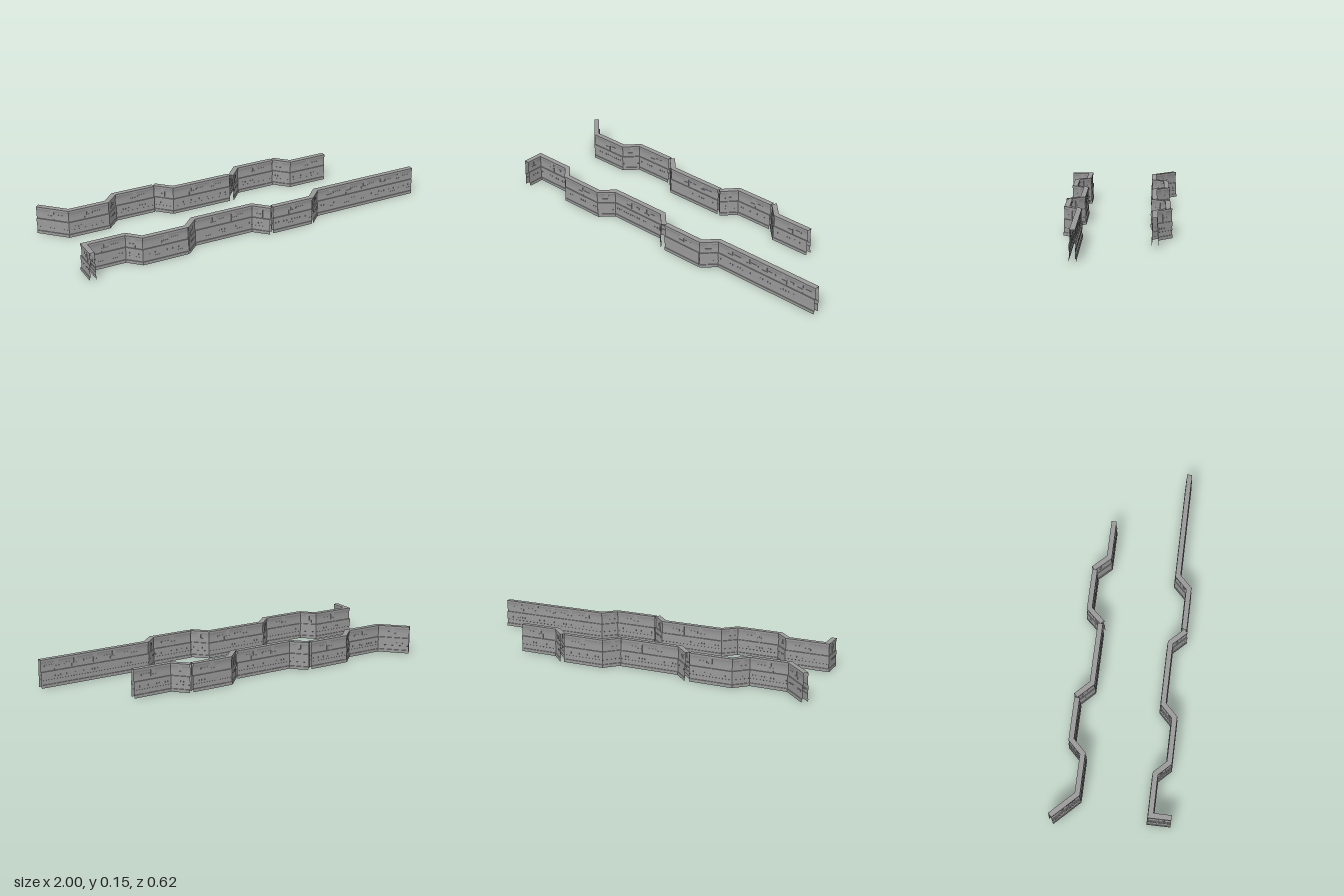
import * as THREE from 'three';
import { mergeGeometries } from 'three/addons/utils/BufferGeometryUtils.js';

// Half cross-section of the barrier: [half thickness, height], bottom to top
const HALF = [
  [0.0175, 0], [0.017, 0.016], [0.0145, 0.017], [0.0135, 0.04],
  [0.0148, 0.041], [0.0144, 0.062], [0.0162, 0.062], [0.0155, 0.085],
  [0.0118, 0.086], [0.0106, 0.112], [0.0108, 0.122], [0.0118, 0.132],
  [0.0138, 0.14], [0.0138, 0.15],
];
const PROFILE = [...HALF, ...HALF.map(([w, y]) => [-w, y]).reverse()];

// Runs of wall as [x, z] centre lines; each run is mitred at its bends
const BACK_RUNS = [
  [[-0.987, -0.299], [-0.863, -0.175], [-0.65, -0.175], [-0.583, -0.243], [-0.355, -0.243]],
  [[-0.345, -0.252], [-0.268, -0.175], [0.067, -0.175]],
  [[0.074, -0.165], [0.146, -0.243], [0.37, -0.243]],
  [[0.378, -0.252], [0.453, -0.175], [0.668, -0.175]],
];
const FRONT_RUNS = [
  [[-0.929, 0.312], [-0.929, 0.206], [-0.71, 0.206], [-0.646, 0.271], [-0.402, 0.271]],
  [[-0.41, 0.277], [-0.337, 0.206], [0.003, 0.206], [0.077, 0.281]],
  [[0.086, 0.271], [0.322, 0.271]],
  [[0.315, 0.277], [0.388, 0.206], [1, 0.206]],
];

function describe(run) {
  const segs = [];
  for (let i = 0; i + 1 < run.length; i++) {
    const dx = run[i + 1][0] - run[i][0], dz = run[i + 1][1] - run[i][1];
    const len = Math.hypot(dx, dz);
    segs.push({ a: run[i], len, d: [dx / len, dz / len], n: [-dz / len, dx / len] });
  }
  return segs;
}

// Hollow shell swept along a run
function shell(run) {
  const segs = describe(run);
  const sides = run.map((_, i) => {
    const p = (segs[i - 1] || segs[i]).n, q = (segs[i] || segs[i - 1]).n;
    const k = 1 + p[0] * q[0] + p[1] * q[1];
    return [(p[0] + q[0]) / k, (p[1] + q[1]) / k];
  });
  const at = (i, [w, y]) => [run[i][0] + sides[i][0] * w, y, run[i][1] + sides[i][1] * w];
  const pos = [];
  for (let i = 0; i + 1 < run.length; i++) {
    for (let j = 0; j + 1 < PROFILE.length; j++) {
      const a = at(i, PROFILE[j]), b = at(i + 1, PROFILE[j]);
      const c = at(i + 1, PROFILE[j + 1]), d = at(i, PROFILE[j + 1]);
      pos.push(...a, ...b, ...c, ...a, ...c, ...d);
    }
  }
  const g = new THREE.BufferGeometry();
  g.setAttribute('position', new THREE.Float32BufferAttribute(pos, 3));
  g.computeVertexNormals();
  return g;
}

// Small block on one face of a segment: s along it, from inner to outer depth
function block(seg, side, s, width, y0, y1, inner, outer) {
  const g = new THREE.BoxGeometry(width, y1 - y0, outer - inner);
  g.rotateY(-Math.atan2(seg.d[1], seg.d[0]));
  const off = side * (inner + outer) / 2;
  return g.translate(
    seg.a[0] + seg.d[0] * s + seg.n[0] * off,
    (y0 + y1) / 2,
    seg.a[1] + seg.d[1] * s + seg.n[1] * off);
}

// Evenly spaced positions kept clear of the segment ends
function spaced(len, pitch, margin) {
  const n = Math.max(1, Math.floor((len - 2 * margin) / pitch));
  return Array.from({ length: n }, (_, i) => len / 2 + (i - (n - 1) / 2) * pitch);
}

export function createModel() {
  const model = new THREE.Group();
  const grey = new THREE.MeshStandardMaterial({ color: 0x999999, side: THREE.DoubleSide });
  grey.name = 'concrete grey';

  const addWall = (name, runs) => {
    const wall = new THREE.Group();
    wall.name = name;
    const add = (part, geometry) => {
      const mesh = new THREE.Mesh(geometry, grey);
      mesh.name = part;
      wall.add(mesh);
    };
    const teeth = [], panels = [];
    for (const run of runs) {
      add('wallShell', shell(run));
      for (const seg of describe(run)) {
        for (const side of [1, -1]) {
          // Teeth hanging below the middle band
          spaced(seg.len, 0.016, 0.01).forEach((s, i) =>
            teeth.push(block(seg, side, s, i % 3 ? 0.008 : 0.011, 0.053, 0.063, 0.0135, 0.0161)));
          // Raised plates under the top lip, with a wider plate below
          spaced(seg.len, 0.11, 0.015).forEach((s, i) => {
            panels.push(block(seg, side, s, 0.022, 0.112, 0.139, 0.0095, 0.0134));
            panels.push(block(seg, side, s + (i % 2 ? 0.006 : -0.006), 0.034, 0.086, 0.11, 0.0095, 0.0128));
            if (seg.len > 0.15) {
              panels.push(block(seg, side, s + 0.042, 0.045, 0.11, 0.119, 0.0095, 0.0122));
            }
          });
        }
      }
    }
    add('bandTeeth', mergeGeometries(teeth));
    add('raisedPanels', mergeGeometries(panels));
    model.add(wall);
  };

  addWall('backWall', BACK_RUNS);
  addWall('frontWall', FRONT_RUNS);
  return model;
}
